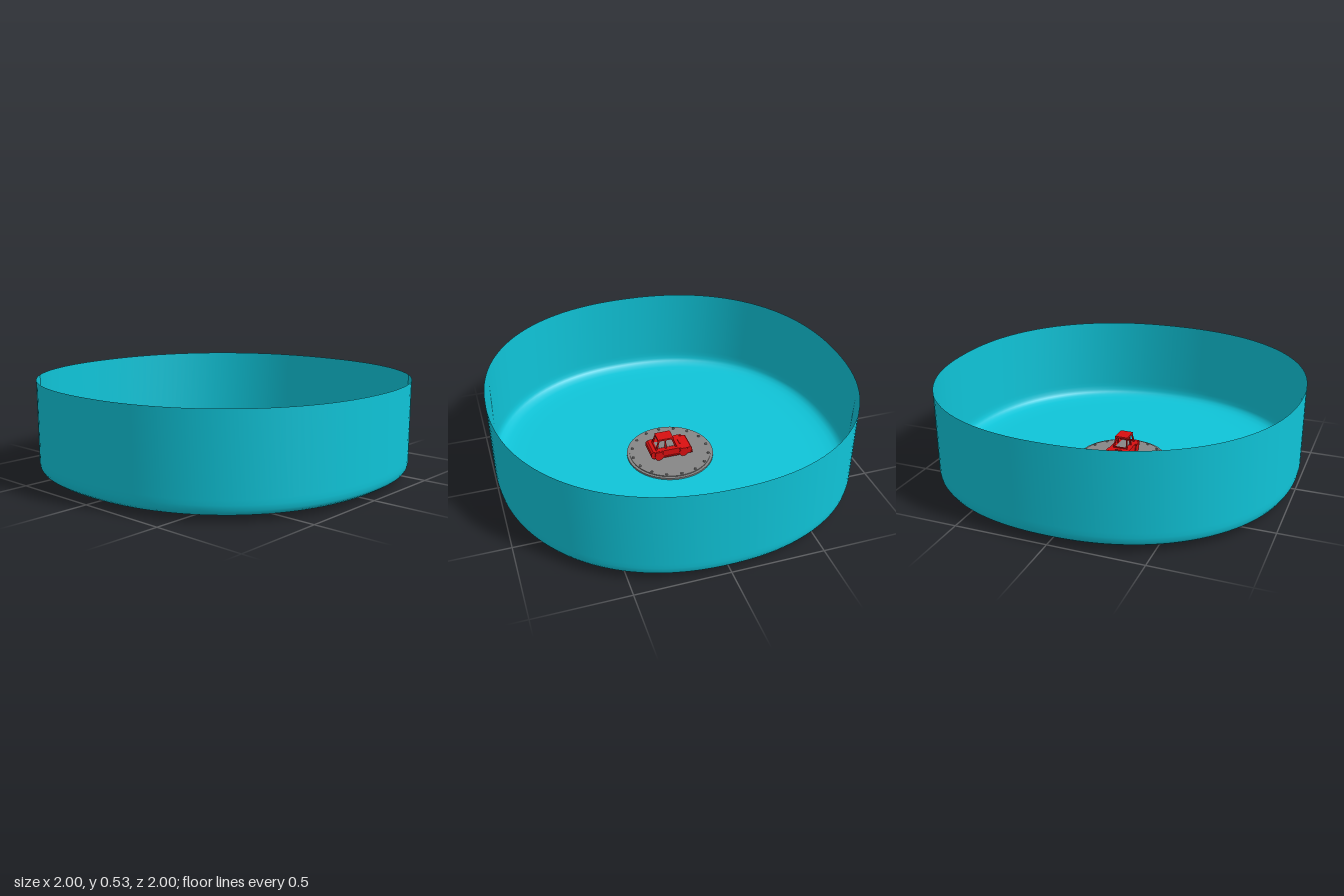
import * as THREE from 'three';

export function createModel() {
  const model = new THREE.Group();
  const teal = new THREE.MeshStandardMaterial({ color: 0x0fc4d8, side: THREE.DoubleSide });
  teal.name = 'teal';
  const grey = new THREE.MeshStandardMaterial({ color: 0x868686 });
  grey.name = 'grey';
  const red = new THREE.MeshStandardMaterial({ color: 0xd80f10 });
  red.name = 'red';

  const add = (name, geometry, material, x = 0, y = 0, z = 0, parent = model) => {
    const mesh = new THREE.Mesh(geometry, material);
    mesh.name = name;
    mesh.position.set(x, y, z);
    parent.add(mesh);
    return mesh;
  };
  const box = (w, h, d) => new THREE.BoxGeometry(w, h, d);

  // Thin open basin: a turned profile pushed out to a slightly squarish outline
  const profile = [[0.001, 0.014], [0.8, 0.014], [0.89, 0.017], [0.94, 0.022], [0.97, 0.031],
    [0.988, 0.044], [0.997, 0.06], [1, 0.085], [1, 0.11], [1, 0.53]];
  const basin = new THREE.LatheGeometry(profile.map(([r, y]) => new THREE.Vector2(r, y)), 128);
  const p = basin.attributes.position;
  const power = 2.2;
  for (let i = 0; i < p.count; i++) {
    const x = p.getX(i), z = p.getZ(i);
    const k = Math.hypot(x, z) / (Math.abs(x) ** power + Math.abs(z) ** power) ** (1 / power);
    p.setX(i, x * k);
    p.setZ(i, z * k);
  }
  basin.computeVertexNormals();
  // Match the normals across the lathe seam
  const n = basin.attributes.normal, rows = profile.length;
  for (let j = 0; j < rows; j++) {
    const last = p.count - rows + j;
    const v = new THREE.Vector3().fromBufferAttribute(n, j)
      .add(new THREE.Vector3().fromBufferAttribute(n, last)).normalize();
    n.setXYZ(j, v.x, v.y, v.z);
    n.setXYZ(last, v.x, v.y, v.z);
  }
  add('basin', basin, teal);

  // Round base plate with a stepped rim and a ring of bolts
  add('basePlate', new THREE.CylinderGeometry(0.25, 0.25, 0.024, 64), grey, 0, 0.012, 0);
  add('raisedPlate', new THREE.CylinderGeometry(0.235, 0.235, 0.006, 64), grey, 0, 0.026, 0);
  for (let i = 0; i < 16; i++) {
    const a = (i / 16) * Math.PI * 2;
    add('bolt', new THREE.CylinderGeometry(0.007, 0.008, 0.006, 10), grey,
      Math.cos(a) * 0.222, 0.032, Math.sin(a) * 0.222);
  }

  // Small vehicle with its bonnet towards -x
  const car = new THREE.Group();
  car.name = 'car';
  car.position.z = -0.003;
  model.add(car);
  const side = new THREE.Shape([[-0.112, 0.04], [0.115, 0.04], [0.13, 0.052], [0.13, 0.08],
    [0.12, 0.088], [-0.03, 0.088], [-0.105, 0.081], [-0.112, 0.075]]
    .map(([x, y]) => new THREE.Vector2(x, y)));
  const body = new THREE.ExtrudeGeometry(side, { depth: 0.122, bevelEnabled: false });
  add('body', body, red, 0, 0, -0.061, car);
  add('bonnetVent', box(0.006, 0.005, 0.04), red, -0.052, 0.088, 0, car);
  add('cabinFloor', box(0.11, 0.004, 0.062), grey, 0.035, 0.088, 0, car);
  add('bumper', box(0.008, 0.014, 0.128), red, -0.112, 0.05, 0, car);

  const up = new THREE.Vector3(0, 1, 0);
  const bar = (name, a, b) => {
    const dir = new THREE.Vector3().subVectors(b, a);
    const mesh = add(name, box(0.008, dir.length(), 0.008), red, 0, 0, 0, car);
    mesh.position.addVectors(a, b).multiplyScalar(0.5);
    mesh.quaternion.setFromUnitVectors(up, dir.normalize());
  };
  for (const s of [-1, 1]) {
    // Wheels and wheel arches
    for (const x of [-0.062, 0.085]) {
      const wheel = add('wheel', new THREE.CylinderGeometry(0.026, 0.026, 0.02, 20), red,
        x, 0.055, s * 0.056, car);
      wheel.rotation.x = Math.PI / 2;
      add('wheelArch', box(0.048, 0.01, 0.014), red, x, 0.081, s * 0.062, car);
    }
    add('sill', box(0.09, 0.008, 0.012), red, 0.012, 0.046, s * 0.06, car);
    // Cabin pillars
    for (const [low, high] of [[-0.022, 0.0], [0.04, 0.04], [0.096, 0.077]]) {
      bar('pillar', new THREE.Vector3(low, 0.085, s * 0.04), new THREE.Vector3(high, 0.143, s * 0.032));
    }
  }
  add('roof', box(0.092, 0.01, 0.074), red, 0.038, 0.145, 0, car);
  add('windscreenBase', box(0.008, 0.01, 0.088), red, -0.023, 0.089, 0, car);
  add('rearWindowBase', box(0.008, 0.01, 0.088), red, 0.096, 0.089, 0, car);

  return model;
}
